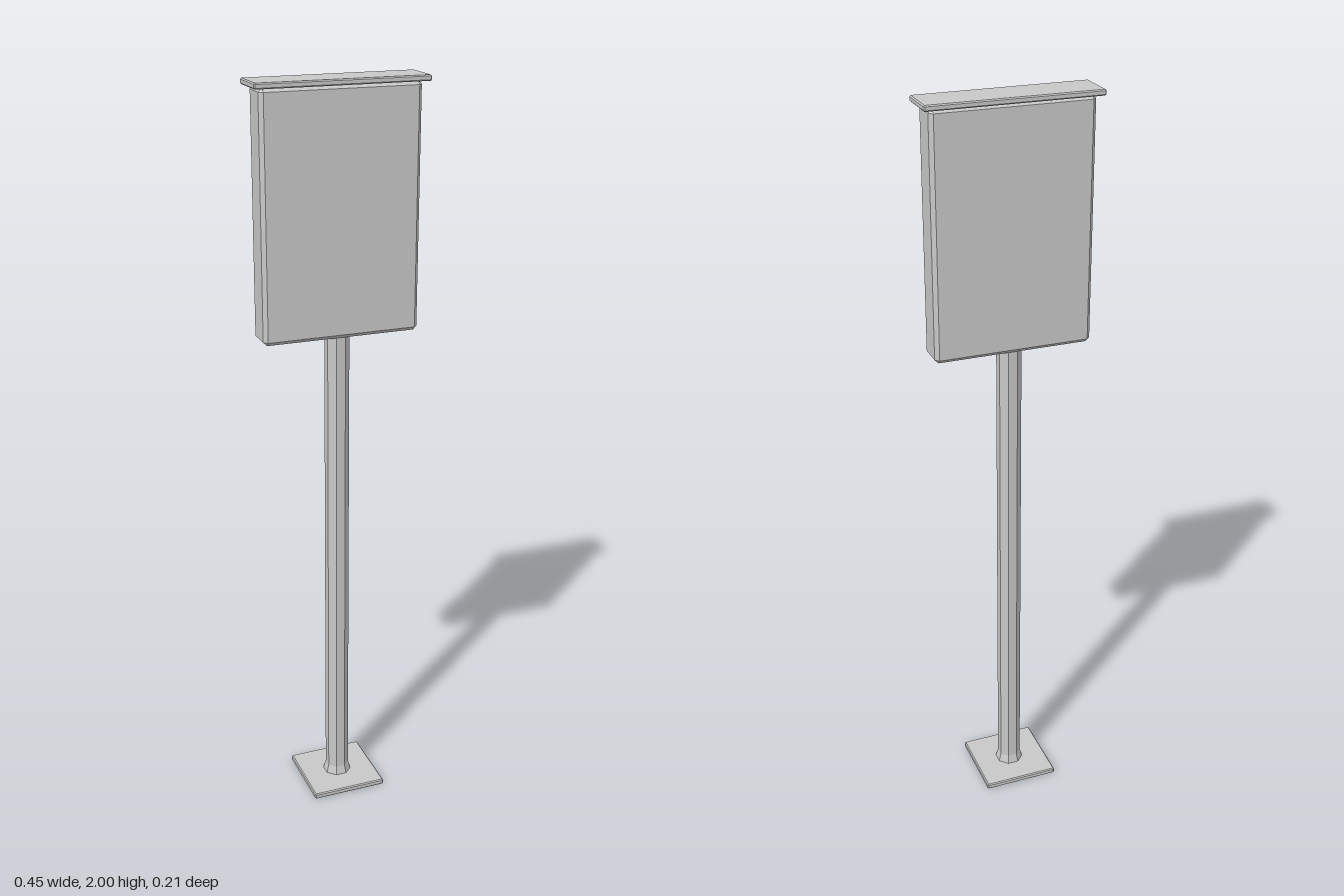
import * as THREE from 'three';
import { ConvexGeometry } from 'three/addons/geometries/ConvexGeometry.js';

// Box with every edge chamfered by c, standing from y0 to y1
function chamferBox(hx, hz, y0, y1, c) {
  const hy = (y1 - y0) / 2, points = [];
  for (const sx of [-1, 1]) for (const sy of [-1, 1]) for (const sz of [-1, 1]) {
    for (let axis = 0; axis < 3; axis++) {
      const h = [hx, hy, hz].map((v, i) => (i === axis ? v : v - c));
      points.push(new THREE.Vector3(sx * h[0], sy * h[1], sz * h[2]));
    }
  }
  return new ConvexGeometry(points).translate(0, (y0 + y1) / 2, 0);
}

export function createModel() {
  const group = new THREE.Group();
  const metal = new THREE.MeshStandardMaterial({ color: 0xc8c8c8 });
  metal.name = 'greyMetal';

  const add = (name, geometry) => {
    const mesh = new THREE.Mesh(geometry, metal);
    mesh.name = name;
    group.add(mesh);
  };

  // Square foot plate
  add('basePlate', chamferBox(0.105, 0.105, 0, 0.016, 0.003));

  // Octagonal post with a small flare at the foot
  const apothem = 0.03, r = apothem / Math.cos(Math.PI / 8);
  const octagon = (top, bottom, y0, y1) =>
    new THREE.CylinderGeometry(top, bottom, y1 - y0, 8).toNonIndexed()
      .rotateY(Math.PI / 8).translate(0, (y0 + y1) / 2, 0);
  const post = octagon(r, r, 0.01, 1.37);
  post.computeVertexNormals();
  add('post', post);
  const collar = octagon(r, r * 1.22, 0.015, 0.04);
  collar.computeVertexNormals();
  add('postCollar', collar);

  // Display cabinet and its overhanging cap
  add('cabinet', chamferBox(0.21, 0.042, 1.352, 1.986, 0.01));
  add('cap', chamferBox(0.227, 0.056, 1.985, 2, 0.003));

  return group;
}
